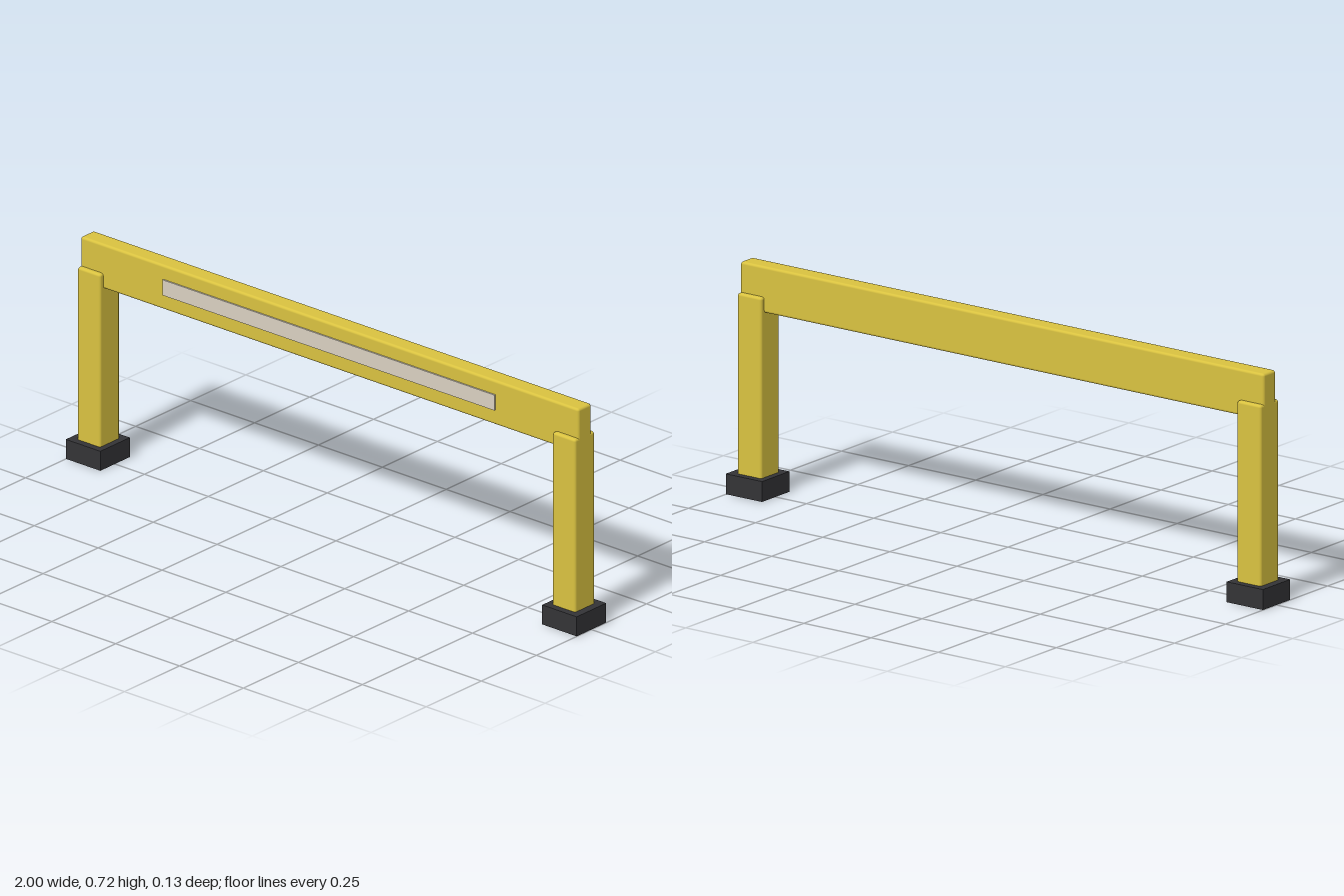
import * as THREE from 'three';
import { RoundedBoxGeometry } from 'three/addons/geometries/RoundedBoxGeometry.js';

const yellow = new THREE.MeshStandardMaterial({ color: 0xd9c240 });
const rubber = new THREE.MeshStandardMaterial({ color: 0x333336 });
const pale = new THREE.MeshStandardMaterial({ color: 0xd9d0c0 });

function add(parent, name, geometry, material, x, y, z = 0) {
  const mesh = new THREE.Mesh(geometry, material);
  mesh.name = name;
  mesh.position.set(x, y, z);
  parent.add(mesh);
}

export function createModel() {
  const model = new THREE.Group();
  model.name = 'barrier';

  // Horizontal beam with softened edges
  add(model, 'beam', new RoundedBoxGeometry(1.95, 0.143, 0.06, 2, 0.008), yellow, 0, 0.6435);

  // Thin reflective strip on the front of the beam
  add(model, 'reflectiveStrip', new THREE.BoxGeometry(1.3, 0.05, 0.008), pale, 0, 0.645, 0.031);

  // A post and its foot at each end
  for (const side of [-1, 1]) {
    const support = new THREE.Group();
    support.name = side > 0 ? 'leftSupport' : 'rightSupport';
    support.position.x = side * 0.9325;
    // The left post shows through the underside of its foot
    const bottom = side > 0 ? -0.0005 : 0.001;
    const height = 0.621 - bottom;
    add(support, 'post', new RoundedBoxGeometry(0.09, height, 0.09, 2, 0.008), yellow,
      -side * 0.0025, bottom + height / 2);
    add(support, 'foot', new THREE.BoxGeometry(0.135, 0.063, 0.134), rubber, 0, 0.0315);
    model.add(support);
  }
  return model;
}
